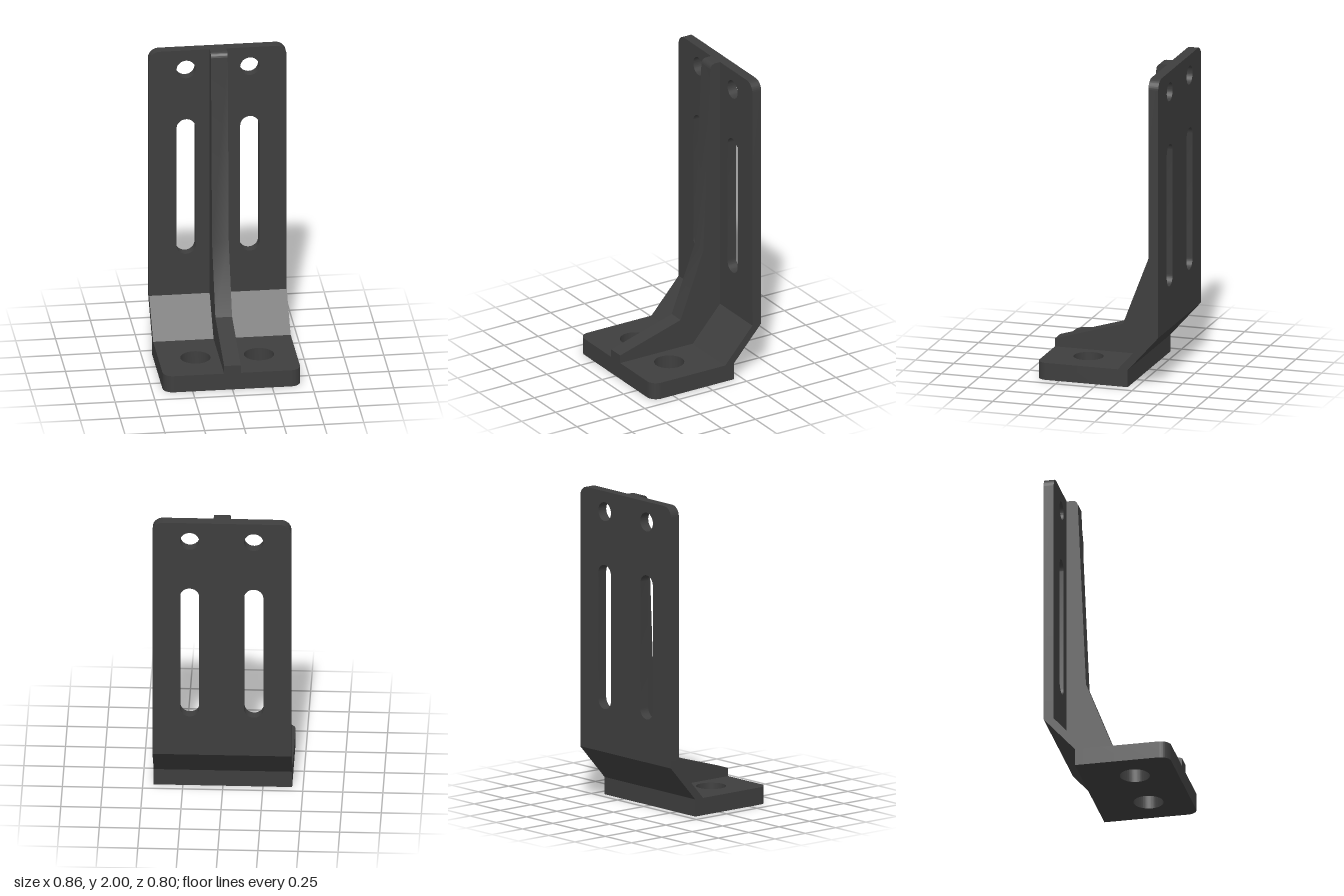
import * as THREE from 'three';
import { toCreasedNormals } from 'three/addons/utils/BufferGeometryUtils.js';

const W = 0.432; // half width
const R = 0.065; // corner radius

function extrude(shape, depth) {
  return toCreasedNormals(new THREE.ExtrudeGeometry(shape, { depth, bevelEnabled: false, curveSegments: 20 }), 0.6);
}

// Shape from [z, y] points, extruded sideways and centred on x
function sideProfile(shape, width) {
  return extrude(shape, width).translate(0, 0, -width / 2).rotateY(-Math.PI / 2);
}

// Rectangle from y0 to y1 with its two corners at y1 rounded
function roundedEnd(y0, y1) {
  const s = new THREE.Shape();
  s.moveTo(-W, y0);
  s.lineTo(W, y0);
  s.lineTo(W, y1 - R);
  s.absarc(W - R, y1 - R, R, 0, Math.PI / 2, false);
  s.lineTo(-W + R, y1);
  s.absarc(-W + R, y1 - R, R, Math.PI / 2, Math.PI, false);
  s.lineTo(-W, y0);
  return s;
}

// Slot between two centre heights; equal heights give a round hole
function slot(x, y0, y1, r) {
  const p = new THREE.Path();
  p.absarc(x, y1, r, 0, Math.PI, false);
  p.absarc(x, y0, r, Math.PI, Math.PI * 2, false);
  p.closePath();
  return p;
}

export function createModel() {
  const model = new THREE.Group();
  model.name = 'bracket';
  const darkPlastic = new THREE.MeshStandardMaterial({ color: 0x3e3e3e });
  darkPlastic.name = 'darkPlastic';
  const add = (name, geometry) => {
    const mesh = new THREE.Mesh(geometry, darkPlastic);
    mesh.name = name;
    model.add(mesh);
  };

  // Foot with two bolt holes, rounded at the front
  const foot = roundedEnd(-0.2, 0.4);
  for (const x of [-0.2, 0.2]) foot.holes.push(slot(x, 0.132, 0.132, 0.094));
  add('foot', extrude(foot, 0.11).rotateX(Math.PI / 2).translate(0, 0.11, 0));

  // Upright plate with round holes and long slots
  const plate = roundedEnd(0.335, 2);
  for (const x of [-0.2, 0.2]) {
    plate.holes.push(slot(x, 1.87, 1.87, 0.06));
    plate.holes.push(slot(x, 0.67, 1.47, 0.06));
  }
  add('uprightPlate', extrude(plate, 0.065).translate(0, 0, -0.4));

  // Sloping web between foot and plate
  const web = new THREE.Shape([[-0.2, 0.11], [-0.135, 0.11], [-0.335, 0.335], [-0.4, 0.335]]
    .map(([z, y]) => new THREE.Vector2(z, y)));
  add('slopingWeb', sideProfile(web, W * 2));

  // Central stiffening rib
  const rib = new THREE.Shape();
  rib.moveTo(-0.135, 0.11);
  rib.lineTo(0.4, 0.11);
  rib.lineTo(0.4, 0.162);
  rib.lineTo(-0.045, 0.295);
  rib.lineTo(-0.212, 0.73);
  rib.lineTo(-0.264, 1.965);
  rib.absarc(-0.299, 1.965, 0.035, 0, Math.PI / 2, false);
  rib.lineTo(-0.335, 2);
  rib.lineTo(-0.335, 0.335);
  rib.closePath();
  add('centralRib', sideProfile(rib, 0.105));

  return model;
}
